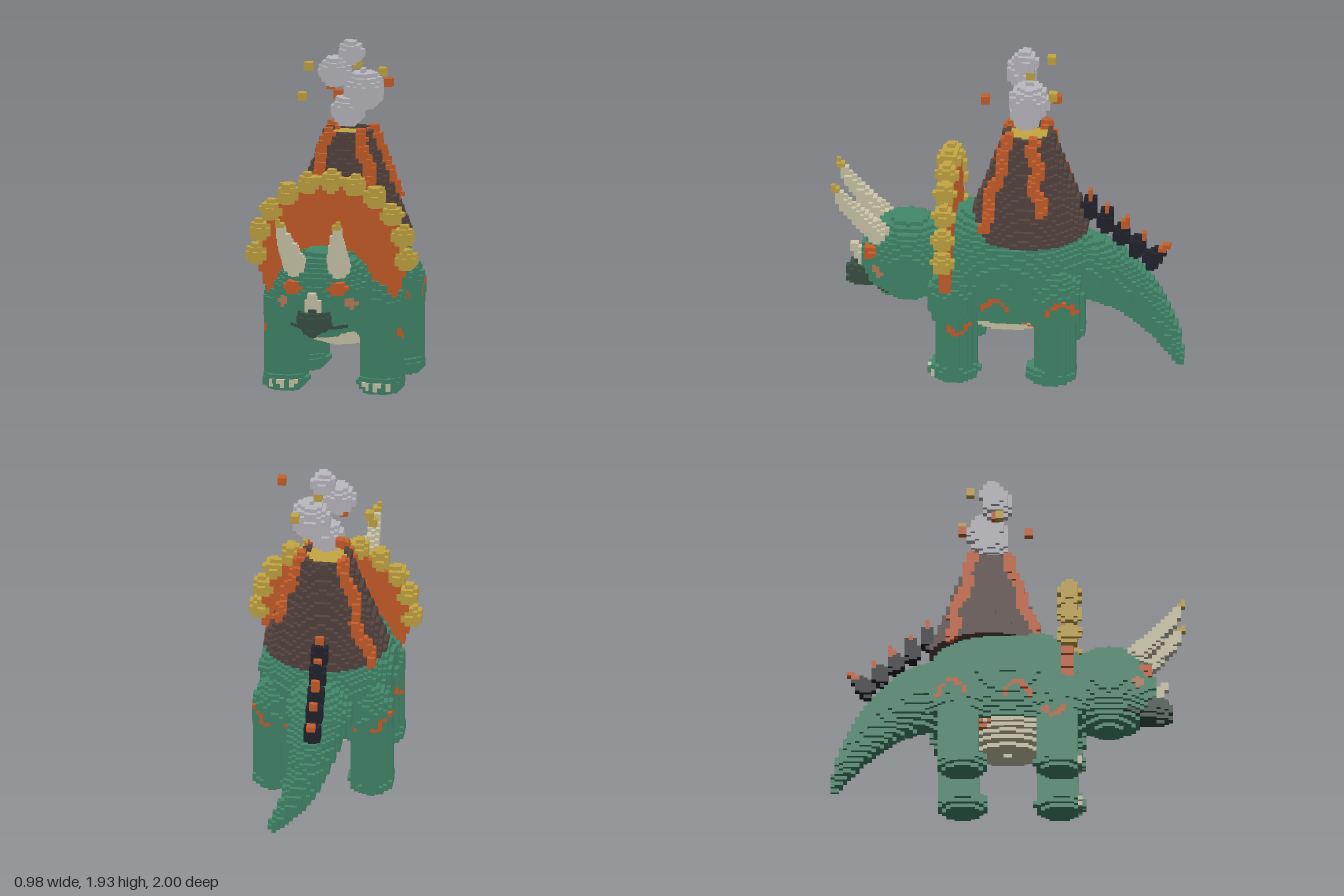
import * as THREE from 'three';

const V = 2 / 86; // voxel edge

const mat = (name, color) => Object.assign(new THREE.MeshStandardMaterial({ color }), { name });
const M = {
  green: mat('skin green', 0x43896c),
  orange: mat('lava orange', 0xcc5f2a),
  gold: mat('gold', 0xc6a843),
  cream: mat('horn cream', 0xcfcaac),
  brown: mat('rock brown', 0x56443f),
  dark: mat('spike black', 0x22232d),
  grey: mat('smoke grey', 0xbdbbc2),
  beak: mat('beak green', 0x3b5146),
  blush: mat('cheek blush', 0xb9805f),
};

export function createModel() {
  const cells = new Map();
  const key = (i, j, k) => (i + 100) + 256 * (j + 8) + 65536 * (k + 100);

  // Visit the voxels of a box and give those passing the test to a part.
  // recolour: only touch voxels that are already filled.
  function fill(name, material, lo, hi, test, recolour = false) {
    const a = lo.map((v) => Math.floor(v / V)), b = hi.map((v) => Math.ceil(v / V));
    for (let i = a[0]; i < b[0]; i++) for (let j = Math.max(0, a[1]); j < b[1]; j++) for (let k = a[2]; k < b[2]; k++) {
      if (!test((i + 0.5) * V, (j + 0.5) * V, (k + 0.5) * V)) continue;
      const id = key(i, j, k);
      if (recolour && !cells.has(id)) continue;
      cells.set(id, { i, j, k, name, material });
    }
  }
  function ellipsoid(name, material, c, r, keep = () => true, recolour = false) {
    const R = Array.isArray(r) ? r : [r, r, r];
    fill(name, material, c.map((v, n) => v - R[n]), c.map((v, n) => v + R[n]),
      (x, y, z) => ((x - c[0]) / R[0]) ** 2 + ((y - c[1]) / R[1]) ** 2 + ((z - c[2]) / R[2]) ** 2 <= 1 && keep(x, y, z), recolour);
  }
  // Tapering limb through points [x, y, z, radius]
  function limb(name, material, pts, keep, steps = 40) {
    const curve = new THREE.CatmullRomCurve3(pts.map((p) => new THREE.Vector3(p[0], p[1], p[2])));
    for (let s = 0; s <= steps; s++) {
      const u = (s / steps) * (pts.length - 1), n = Math.min(Math.floor(u), pts.length - 2);
      ellipsoid(name, material, curve.getPoint(s / steps).toArray(),
        THREE.MathUtils.lerp(pts[n][3], pts[n + 1][3], u - n), keep);
    }
  }
  const sides = [['left', 1], ['right', -1]];

  // Body with pale belly
  const bodyR = [0.385, 0.38, 0.5];
  ellipsoid('body', M.green, [0, 0.6, 0], bodyR, (x, y) => y >= 0.34);
  ellipsoid('belly', M.cream, [0, 0.6, 0], bodyR, (x, y) => y < 0.34);

  // Tail, curling to its left at the tip
  limb('tail', M.green, [[0, 0.6, -0.4, 0.19], [0, 0.575, -0.5, 0.18], [0.02, 0.45, -0.7, 0.13],
    [0.045, 0.35, -0.8, 0.105], [0.095, 0.25, -0.89, 0.075], [0.2, 0.13, -0.975, 0.03]], undefined, 80);

  // Legs, feet and toes
  for (const [side, s] of sides) {
    for (const [end, z, footZ] of [['Front', 0.285, 0.295], ['Back', -0.275, -0.255]]) {
      const leg = side + end + 'Leg';
      ellipsoid(leg, M.green, [s * 0.25, 0.48, z], [0.15, 0.21, 0.16]);
      fill(leg, M.green, [s * 0.27 - 0.13, 0.04, z - 0.13], [s * 0.27 + 0.13, 0.5, z + 0.13],
        (x, y, zz) => Math.hypot(x - s * 0.27, zz - z) < 0.118);
      ellipsoid(side + end + 'Foot', M.green, [s * 0.275, 0.055, footZ], [0.13, 0.065, 0.148]);
    }
    for (const x of [0.215, 0.275, 0.335])
      ellipsoid(side + 'Toes', M.cream, [s * x, 0.055, 0.425 - Math.abs(x - 0.275) * 0.4], [0.02, 0.025, 0.025]);
  }

  // Glowing crack markings on the flanks and legs: [z, y, radius, up or down]
  for (const [cz, cy, r, up] of [[0.055, 0.45, 0.068, 1], [-0.32, 0.445, 0.075, 1], [0.26, 0.37, 0.052, -1], [-0.13, 0.35, 0.03, -1]])
    for (const [, s] of sides)
      fill('crackMarkings', M.orange, [s < 0 ? -0.45 : 0.2, cy - 0.1, cz - 0.1], [s < 0 ? -0.2 : 0.45, cy + 0.1, cz + 0.1],
        (x, y, z) => Math.abs(Math.hypot(z - cz, y - cy) - r) < 0.013 && (y - cy) * up > 0, true);

  // Frill and its rim of knobs
  fill('frill', M.orange, [-0.45, 0.54, 0.29], [0.45, 1.25, 0.38],
    (x, y, z) => Math.hypot(x, y - 0.77) < 0.42 && y > 0.54 && z > 0.295 && z < 0.375);
  for (let n = 0; n <= 10; n++) {
    const a = (n / 10) * Math.PI;
    ellipsoid('frillKnobs', M.gold, [0.43 * Math.cos(a), 0.775 + 0.435 * Math.sin(a), 0.348], 0.062);
  }

  // Head, snout and beak
  ellipsoid('head', M.green, [0, 0.62, 0.57], [0.265, 0.25, 0.27]);
  ellipsoid('snout', M.green, [0, 0.57, 0.72], [0.15, 0.14, 0.115]);
  ellipsoid('mouth', M.beak, [0, 0.46, 0.7], [0.22, 0.017, 0.15], (x) => Math.abs(x) < 0.157, true);
  ellipsoid('beak', M.beak, [0, 0.51, 0.8], [0.1, 0.075, 0.125]);
  ellipsoid('beak', M.beak, [0, 0.46, 0.86], [0.06, 0.035, 0.065]);
  limb('noseHorn', M.cream, [[0, 0.59, 0.82, 0.05], [0, 0.63, 0.86, 0.035], [0, 0.66, 0.895, 0.018]]);
  for (const [side, s] of sides) {
    ellipsoid(side + 'Eye', M.orange, [s * 0.125, 0.685, 0.77], [0.06, 0.04, 0.05]);
    ellipsoid(side + 'Cheek', M.blush, [s * 0.195, 0.595, 0.735], [0.045, 0.026, 0.06], undefined, true);
    const horn = [[s * 0.125, 0.8, 0.74, 0.06], [s * 0.138, 0.9, 0.835, 0.05],
      [s * 0.155, 1.0, 0.93, 0.036], [s * 0.168, 1.095, 0.982, 0.018]];
    limb(side + 'BrowHorn', M.cream, horn, (x, y) => y < 1.07);
    limb(side + 'HornTip', M.gold, horn, (x, y) => y >= 1.07);
  }

  // Volcano with a lava pool in its crater
  const cz = -0.105, y0 = 0.83, y1 = 1.41;
  const coneR = (y) => 0.14 + 0.215 * Math.pow(Math.max(0, (y1 - y) / (y1 - y0)), 1.08);
  fill('volcano', M.brown, [-0.4, y0, cz - 0.4], [0.4, y1, cz + 0.4], (x, y, z) => {
    const r = Math.hypot(x, z - cz);
    return y > y0 && y < y1 && r < coneR(y) && !(y > 1.37 && r < 0.11);
  });
  fill('lavaPool', M.gold, [-0.12, 1.36, cz - 0.12], [0.12, 1.39, cz + 0.12],
    (x, y, z) => y < 1.39 && Math.hypot(x, z - cz) < 0.11);

  // Lava streams: [direction x, direction z, lowest y]
  for (const [dx, dz, end] of [[-0.28, -0.24, 0.85], [0.28, -0.08, 1.04], [-0.22, 0.26, 0.91], [0.24, 0.27, 0.91]]) {
    const base = Math.atan2(dz, dx), pts = [];
    for (let n = 0; n <= 8; n++) {
      const y = THREE.MathUtils.lerp(1.405, end, n / 8), a = base + 0.09 * Math.sin(n * 1.5);
      pts.push([coneR(y) * Math.cos(a), y, cz + coneR(y) * Math.sin(a), 0.035]);
    }
    limb('lavaStreams', M.orange, pts, undefined, 60);
  }

  // Row of dark back spikes with glowing tips: [z, y, tip z, tip y]
  for (const [z, y, tz, ty] of [[-0.45, 0.95, -0.452, 1.055], [-0.54, 0.865, -0.555, 0.975], [-0.63, 0.795, -0.66, 0.89],
    [-0.712, 0.72, -0.768, 0.81], [-0.8, 0.645, -0.885, 0.735]]) {
    ellipsoid('backSpikes', M.dark, [0, y, z], [0.058, 0.06, 0.05]);
    limb('backSpikes', M.dark, [[0, y, z, 0.05], [0, (y + ty) / 2, (z + tz) / 2, 0.035]], undefined, 8);
    limb('spikeTips', M.orange, [[0, y * 0.3 + ty * 0.7, z * 0.3 + tz * 0.7, 0.022], [0, ty, tz, 0.017]], undefined, 8);
  }

  // Smoke puffs and flying embers
  for (const [x, y, z, r] of [[0, 1.53, -0.09, 0.09], [0.085, 1.645, -0.115, 0.112], [-0.07, 1.755, -0.06, 0.087], [0.02, 1.862, -0.09, 0.067]])
    ellipsoid('smoke', M.grey, [x, y, z], r);
  const embers = [[-0.255, 1.735, -0.2, M.gold], [-0.26, 1.6, -0.04, M.gold], [0.05, 1.78, -0.125, M.gold], [0.155, 1.73, -0.245, M.gold],
    [0.28, 1.755, 0.105, M.orange], [-0.1, 1.665, -0.08, M.orange], [-0.1, 1.575, -0.265, M.orange]];
  for (const [x, y, z, m] of embers) {
    const c = [x, y, z].map((v) => Math.round(v / V) * V);
    fill(m === M.gold ? 'goldEmbers' : 'orangeEmbers', m, c.map((v) => v - V * 0.99), c.map((v) => v + V * 0.99), () => true);
  }

  // Turn each part's exposed voxel faces into one mesh
  const parts = new Map();
  for (const c of cells.values()) {
    if (!parts.has(c.name)) parts.set(c.name, { material: c.material, pos: [], nor: [], idx: [] });
    const p = parts.get(c.name), at = [c.i, c.j, c.k];
    for (let axis = 0; axis < 3; axis++) for (const d of [1, -1]) {
      const next = [...at];
      next[axis] += d;
      if (cells.has(key(...next))) continue;
      const u = (axis + 1) % 3, w = (axis + 2) % 3, first = p.pos.length / 3;
      for (const [a, b] of [[0, 0], [1, 0], [1, 1], [0, 1]]) {
        const q = [...at], nrm = [0, 0, 0];
        q[axis] += d > 0 ? 1 : 0;
        q[u] += a;
        q[w] += b;
        nrm[axis] = d;
        p.pos.push(...q.map((v) => v * V));
        p.nor.push(...nrm);
      }
      const order = d > 0 ? [0, 1, 2, 0, 2, 3] : [0, 2, 1, 0, 3, 2];
      p.idx.push(...order.map((n) => first + n));
    }
  }
  const group = new THREE.Group();
  group.name = 'volcanoDinosaur';
  for (const [name, p] of parts) {
    if (!p.idx.length) continue;
    const g = new THREE.BufferGeometry();
    g.setAttribute('position', new THREE.Float32BufferAttribute(p.pos, 3));
    g.setAttribute('normal', new THREE.Float32BufferAttribute(p.nor, 3));
    g.setIndex(p.idx);
    const mesh = new THREE.Mesh(g, p.material);
    mesh.name = name;
    group.add(mesh);
  }
  return group;
}
